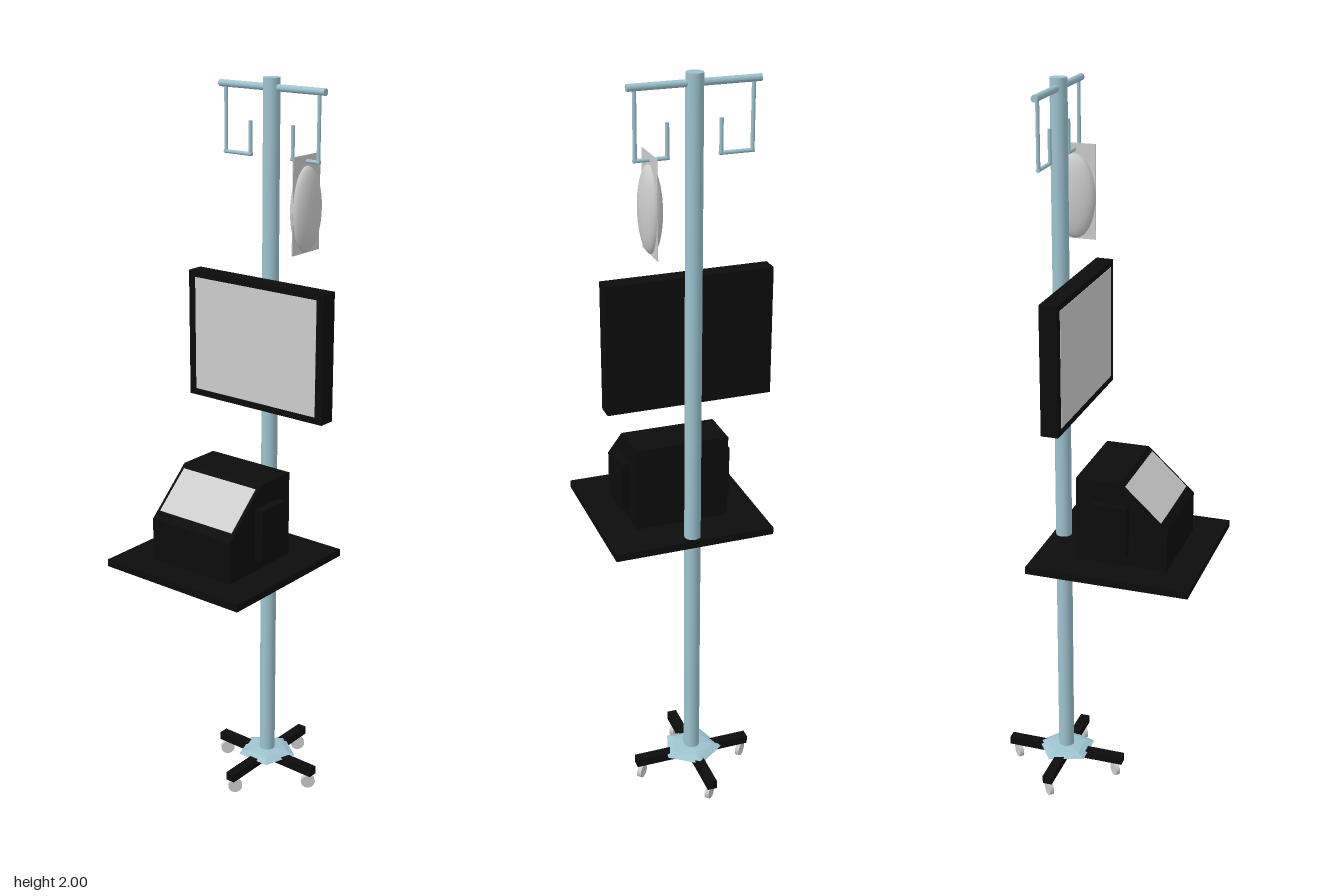
import * as THREE from 'three';

const POLE_Z = -0.122;
const blue = new THREE.MeshStandardMaterial({ color: 0x9cc3d0 });
const black = new THREE.MeshStandardMaterial({ color: 0x0c0c0c });
const grey = new THREE.MeshStandardMaterial({ color: 0xcccccc });
const hubBlue = blue.clone();
hubBlue.flatShading = true;

export function createModel() {
  const root = new THREE.Group();

  function add(name, geometry, material, x = 0, y = 0, z = 0, parent = root) {
    const mesh = new THREE.Mesh(geometry, material);
    mesh.name = name;
    mesh.position.set(x, y, z);
    parent.add(mesh);
    return mesh;
  }
  const box = (w, h, d) => new THREE.BoxGeometry(w, h, d);
  const rod = (r, h, n = 16) => new THREE.CylinderGeometry(r, r, h, n);

  // Pole and crossbar
  add('pole', rod(0.022, 1.95, 32), blue, 0, 1.025, POLE_Z);
  add('crossbar', rod(0.009, 0.334), blue, 0, 1.975, POLE_Z).rotation.z = Math.PI / 2;

  // Mirrored square hooks, each of three thin rods
  for (const s of [-1, 1]) {
    const hook = new THREE.Group();
    hook.name = s > 0 ? 'leftHook' : 'rightHook';
    hook.position.z = POLE_Z;
    root.add(hook);
    add('hookHanger', rod(0.005, 0.175, 10), blue, s * 0.148, 1.8875, 0, hook);
    add('hookBottom', rod(0.005, 0.09, 10), blue, s * 0.108, 1.803, 0, hook).rotation.z = Math.PI / 2;
    add('hookTip', rod(0.005, 0.085, 10), blue, s * 0.068, 1.845, 0, hook);
  }

  // Fluid bag: swollen middle on a thin flat sheet
  const bag = new THREE.Group();
  bag.name = 'fluidBag';
  bag.position.set(0.112, 0, POLE_Z);
  root.add(bag);
  add('bagSheet', box(0.002, 0.248, 0.114), grey, 0, 1.695, 0, bag);
  add('bagBody', new THREE.SphereGeometry(1, 32, 20), grey, 0, 1.682, 0, bag).scale.set(0.027, 0.11, 0.057);

  // Monitor
  add('monitorCase', box(0.444, 0.345, 0.047), black, 0, 1.318, -0.077);
  add('monitorScreen', box(0.4, 0.31, 0.002), grey, 0, 1.319, -0.0535);

  // Shelf
  add('shelf', box(0.444, 0.02, 0.444), black, 0, 0.755, 0.07);

  // Sloped device: side profile (z, y) extruded across x
  const profile = new THREE.Shape([
    [-0.04, 0.765], [0.21, 0.765], [0.21, 0.88], [0.08, 1.0], [-0.04, 1.0],
  ].map(([z, y]) => new THREE.Vector2(-z, y)));
  const body = new THREE.ExtrudeGeometry(profile, { depth: 0.262, bevelEnabled: false });
  body.translate(0, 0, -0.131).rotateY(Math.PI / 2);
  add('deviceBody', body, black);
  add('deviceSideModules', box(0.31, 0.14, 0.095), black, 0, 0.87, 0.058);
  const slope = Math.atan2(0.12, 0.13);
  add('deviceScreen', box(0.244, 0.003, 0.134), grey, 0, 0.944, 0.141).rotation.x = slope;

  // Base hub: shallow five-sided dome with a corner at the back
  const dome = [[0, 0.05], [0.05, 0.053], [0.085, 0.066], [0.06, 0.075], [0.022, 0.08], [0, 0.08]];
  const hub = new THREE.LatheGeometry(dome.map(([r, y]) => new THREE.Vector2(r, y)), 5);
  add('baseHub', hub, hubBlue, 0, 0, POLE_Z).rotation.y = Math.PI;

  // Crossed feet
  add('sideFeet', box(0.334, 0.024, 0.027), black, 0, 0.057, POLE_Z);
  add('frontBackFeet', box(0.027, 0.024, 0.346), black, 0, 0.057, POLE_Z);

  // Four casters, all turned the same way
  for (let i = 0; i < 4; i++) {
    const a = (i * Math.PI) / 2;
    const caster = new THREE.Group();
    caster.name = 'caster';
    caster.position.set(0.15 * Math.cos(a), 0, POLE_Z + 0.15 * Math.sin(a));
    caster.rotation.y = Math.PI / 4;
    root.add(caster);
    add('wheel', rod(0.02, 0.012, 20), grey, 0, 0.02, 0, caster).rotation.x = Math.PI / 2;
    add('casterStem', rod(0.005, 0.02, 10), grey, 0, 0.04, 0, caster);
  }
  return root;
}
